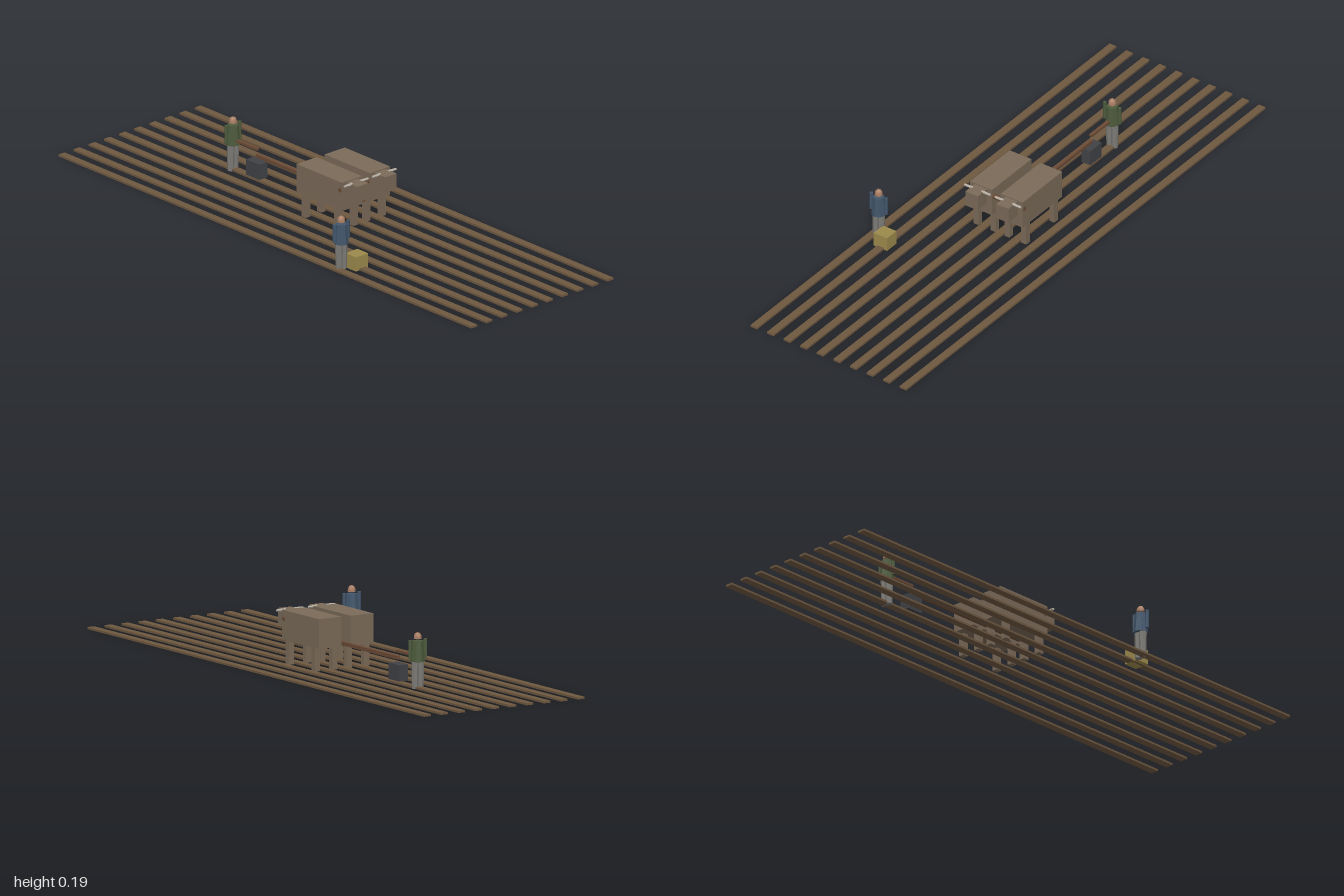
import * as THREE from 'three';

const mat = (color) => new THREE.MeshStandardMaterial({ color, flatShading: true });
const M = {
  soil: mat(0x6e5840), hide: mat(0x7a6a58), horn: mat(0xb8b0a4), wood: mat(0x6b4a35),
  iron: mat(0x404246), skin: mat(0xa87c62), trousers: mat(0x7c7a76),
  blue: mat(0x42566c), green: mat(0x4c5a3c), straw: mat(0x9c8a4c),
};

function add(parent, name, geometry, material, x, y, z) {
  const mesh = new THREE.Mesh(geometry, material);
  mesh.name = name;
  mesh.position.set(x, y, z);
  parent.add(mesh);
  return mesh;
}
const box = (w, h, d) => new THREE.BoxGeometry(w, h, d);
const cyl = (top, bottom, h, n = 8) => new THREE.CylinderGeometry(top, bottom, h, n);

function group(parent, name, x, z) {
  const g = new THREE.Group();
  g.name = name;
  g.position.set(x, 0, z);
  parent.add(g);
  return g;
}

// Ox with box body, legs and head, and sideways horns
function makeOx(parent, x) {
  const ox = group(parent, 'ox', x, 0);
  add(ox, 'oxBody', box(0.088, 0.099, 0.22), M.hide, 0, 0.1275, 0);
  add(ox, 'oxHead', box(0.05, 0.055, 0.055), M.hide, 0, 0.146, 0.135);
  for (const s of [-1, 1]) {
    for (const z of [-0.076, 0.08]) add(ox, 'oxLeg', box(0.02, 0.08, 0.02), M.hide, s * 0.034, 0.04, z);
    const horn = add(ox, 'horn', cyl(0.004, 0.005, 0.034, 6), M.horn, s * 0.035, 0.172, 0.13);
    horn.rotation.z = -s * Math.PI / 2;
  }
}

// Standing field worker
function makeWorker(parent, name, x, z, shirt) {
  const man = group(parent, name, x, z);
  add(man, 'torso', cyl(0.019, 0.024, 0.068), shirt, 0, 0.124, 0);
  for (const s of [-1, 1]) {
    add(man, 'leg', cyl(0.013, 0.011, 0.092), M.trousers, s * 0.01, 0.046, 0);
    add(man, 'arm', cyl(0.006, 0.006, 0.063), shirt, s * 0.0295, 0.131, 0);
  }
  // Domed head with a flat underside
  const profile = [[0, 0], [0.0135, 0], [0.013, 0.008], [0.0105, 0.015], [0.006, 0.0195], [0, 0.021]]
    .map(([r, y]) => new THREE.Vector2(r, y));
  add(man, 'head', new THREE.LatheGeometry(profile, 10), M.skin, 0, 0.165, 0);
}

export function createModel() {
  const model = new THREE.Group();
  const cx = 0.0325;

  // Ten parallel ridges of soil
  const field = group(model, 'field', 0, 0);
  for (let i = 0; i < 10; i++) {
    add(field, 'ridge', box(0.027, 0.007, 2), M.soil, -0.3 + i * 0.6 / 9, 0.0035, 0);
  }

  // Ox team and yoke
  for (const s of [-1, 1]) makeOx(model, cx + s * 0.0617);
  const yoke = add(model, 'yoke', cyl(0.008, 0.008, 0.214), M.wood, cx, 0.148, 0.1);
  yoke.rotation.z = Math.PI / 2;

  // Plough
  const plough = group(model, 'plough', cx, 0);
  add(plough, 'beam', box(0.012, 0.012, 0.52), M.wood, 0, 0.085, -0.16);
  add(plough, 'share', box(0.035, 0.054, 0.064), M.iron, 0, 0.039, -0.42);
  add(plough, 'handle', box(0.012, 0.008, 0.1), M.wood, 0, 0.107, -0.465);

  // Workers and the seed box
  makeWorker(model, 'ploughman', cx, -0.535, M.green);
  makeWorker(model, 'sower', -0.2795, 0.333, M.blue);
  add(model, 'seedBox', box(0.054, 0.05, 0.052), M.straw, -0.235, 0.025, 0.359);
  return model;
}
